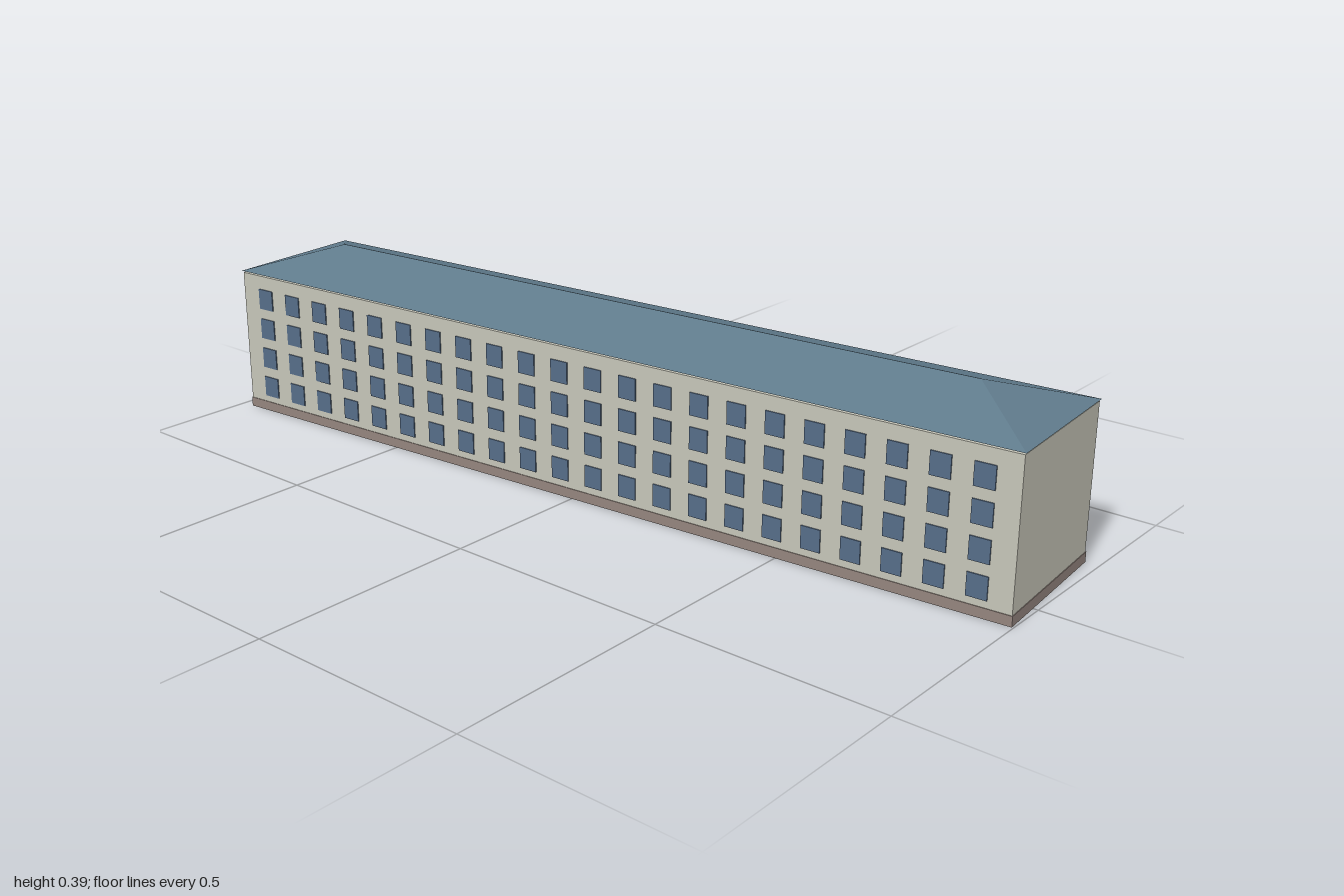
import * as THREE from 'three';

const HALF_L = 0.985, HALF_W = 0.169;
const BASE_TOP = 0.022, WALL_TOP = 0.334;
const EAVES = 0.338, RIDGE = 0.392;

const material = (name, color) => {
  const m = new THREE.MeshStandardMaterial({ color });
  m.name = name;
  return m;
};

// Closed hip roof: four slopes plus the underside
function hipRoof(halfL, halfW, halfRidge) {
  const a = [-halfL, EAVES, halfW], b = [halfL, EAVES, halfW];
  const c = [halfL, EAVES, -halfW], d = [-halfL, EAVES, -halfW];
  const p = [-halfRidge, RIDGE, 0], q = [halfRidge, RIDGE, 0];
  const faces = [[a, b, q], [a, q, p], [c, d, p], [c, p, q], [b, c, q], [d, a, p], [a, d, c], [a, c, b]];
  const geo = new THREE.BufferGeometry();
  geo.setAttribute('position', new THREE.Float32BufferAttribute(faces.flat(2), 3));
  geo.computeVertexNormals();
  return geo;
}

export function createModel() {
  const wall = material('pale plaster', 0xc6c5b8);
  const plinth = material('brown stone', 0x94857e);
  const slate = material('blue slate', 0x607b8c);
  const glass = material('window blue', 0x566d88);

  const model = new THREE.Group();
  model.name = 'longBuilding';
  const building = new THREE.Group();
  building.name = 'building';
  building.rotation.y = 0.078;
  model.add(building);

  const add = (parent, name, geo, mat, x = 0, y = 0, z = 0) => {
    const mesh = new THREE.Mesh(geo, mat);
    mesh.name = name;
    mesh.position.set(x, y, z);
    parent.add(mesh);
    return mesh;
  };

  // Plinth, walls and roof
  add(building, 'plinth', new THREE.BoxGeometry(2 * HALF_L + 0.003, BASE_TOP, 2 * HALF_W + 0.003), plinth, 0, BASE_TOP / 2);
  const wallH = WALL_TOP - BASE_TOP;
  add(building, 'walls', new THREE.BoxGeometry(2 * HALF_L, wallH, 2 * HALF_W), wall, 0, BASE_TOP + wallH / 2);
  add(building, 'roof', hipRoof(0.988, 0.1715, 0.817), slate);

  // Four storeys of windows on both long sides
  const pane = new THREE.BoxGeometry(0.043, 0.048, 0.003);
  for (const side of [1, -1]) {
    const windows = new THREE.Group();
    windows.name = side > 0 ? 'frontWindows' : 'backWindows';
    building.add(windows);
    for (let row = 0; row < 4; row++) {
      for (let col = 0; col < 22; col++) {
        add(windows, 'window', pane, glass, (col - 10.5) * 0.087, 0.0615 + row * 0.0722, side * (HALF_W + 0.001));
      }
    }
  }
  return model;
}
